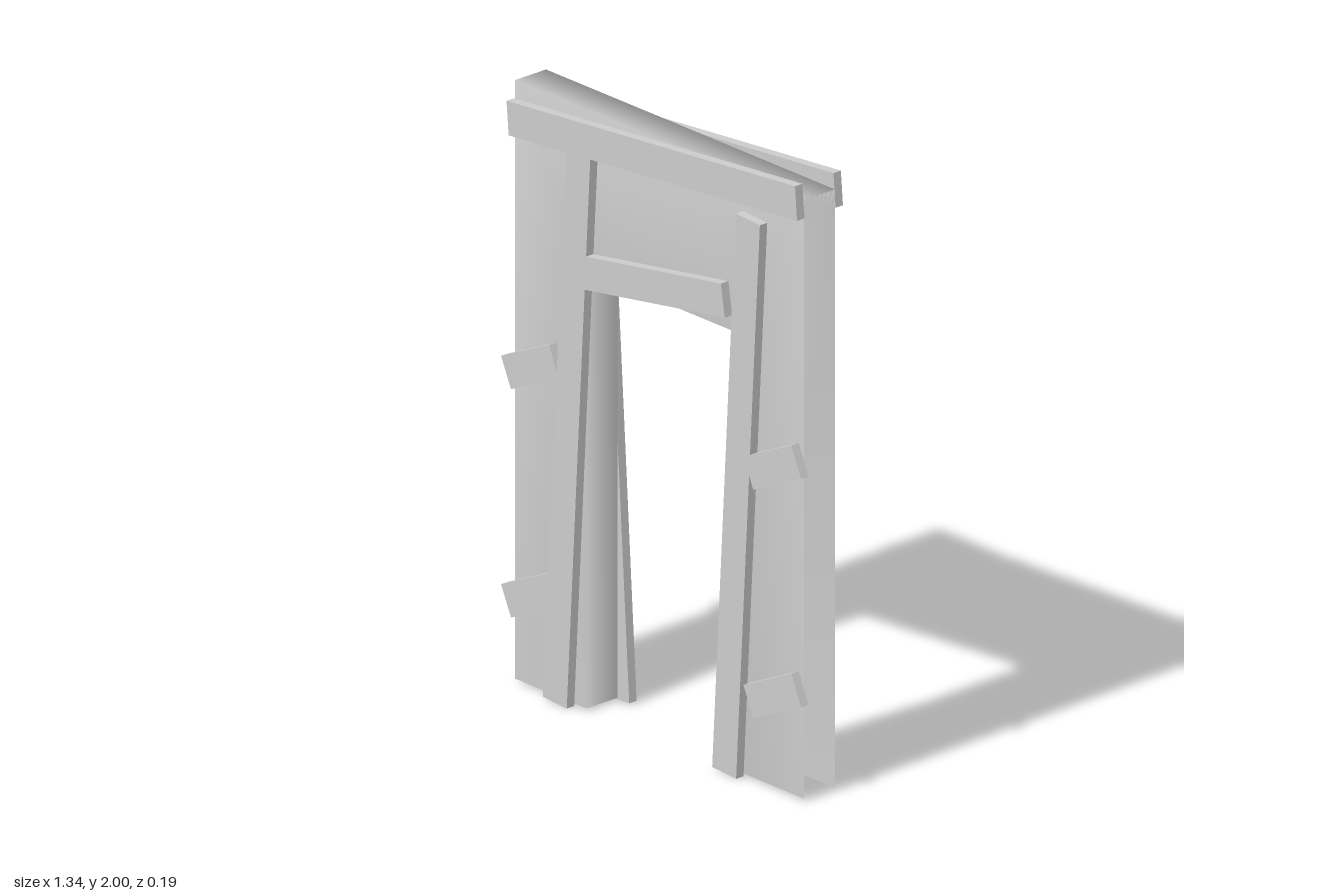
import * as THREE from 'three';

const material = new THREE.MeshStandardMaterial({ color: 0xcccccc, side: THREE.DoubleSide });
const WALL = 0.063; // half thickness of the wall
const BOARD = 0.03; // thickness of the boards

// Wall with a doorway: open at the outer ends and bottom, smooth shared normals
function wall() {
  const outline = [
    [-0.645, 0.01], [-0.645, 1.95], [0.645, 1.95], [0.645, 0.01],
    [0.325, 0.01], [0.325, 1.43], [-0.325, 1.43], [-0.325, 0.01],
  ];
  const n = outline.length;
  const positions = [];
  for (const z of [WALL, -WALL]) for (const [x, y] of outline) positions.push(x, y, z);

  const index = [];
  const quad = (a, b, c, d) => index.push(a, b, c, a, c, d);
  // front and back panels
  for (const [a, b, c, d] of [[0, 7, 6, 1], [1, 6, 5, 2], [5, 4, 3, 2]]) {
    quad(a, b, c, d);
    quad(d + n, c + n, b + n, a + n);
  }
  // top, jambs and underside of the header
  for (const [a, b] of [[1, 2], [4, 5], [5, 6], [6, 7]]) quad(a, b, b + n, a + n);

  const geometry = new THREE.BufferGeometry();
  geometry.setAttribute('position', new THREE.Float32BufferAttribute(positions, 3));
  geometry.setIndex(index);
  geometry.computeVertexNormals();
  const mesh = new THREE.Mesh(geometry, material);
  mesh.name = 'wall';
  return mesh;
}

// Board along a centre line from one end to the other; side is 1 (front) or -1 (back)
function board(name, side, [x1, y1], [x2, y2], width = 0.107) {
  const length = Math.hypot(x2 - x1, y2 - y1);
  const mesh = new THREE.Mesh(new THREE.BoxGeometry(length, width, BOARD), material);
  mesh.position.set((x1 + x2) / 2, (y1 + y2) / 2, side * (WALL + BOARD / 2));
  mesh.rotation.z = Math.atan2(y2 - y1, x2 - x1);
  mesh.name = name;
  return mesh;
}

export function createModel() {
  const group = new THREE.Group();
  group.name = 'doorway';
  group.add(wall());

  // Slanted top beam and lintel on both faces
  for (const [label, side] of [['front', 1], ['back', -1]]) {
    group.add(board(label + 'TopBeam', side, [-0.645, 1.835], [0.643, 1.946], 0.11));
    group.add(board(label + 'Lintel', side, [-0.31, 1.435], [0.316, 1.533]));
  }

  // Leaning door posts
  group.add(board('frontRightPost', 1, [-0.434, 0.004], [-0.329, 1.82]));
  group.add(board('frontLeftPost', 1, [0.322, 0.004], [0.428, 1.83]));
  group.add(board('backRightPost', -1, [-0.327, 0.004], [-0.422, 1.54]));
  group.add(board('backLeftPost', -1, [0.33, 0.004], [0.425, 1.54]));

  // Short slanted planks on the front
  const angle = THREE.MathUtils.degToRad(25);
  const dx = 0.118 * Math.cos(angle), dy = 0.118 * Math.sin(angle);
  for (const x of [-0.545, 0.537]) {
    for (const y of [0.318, 1.058]) {
      group.add(board('shortPlank', 1, [x - dx, y - dy], [x + dx, y + dy], 0.105));
    }
  }
  return group;
}
